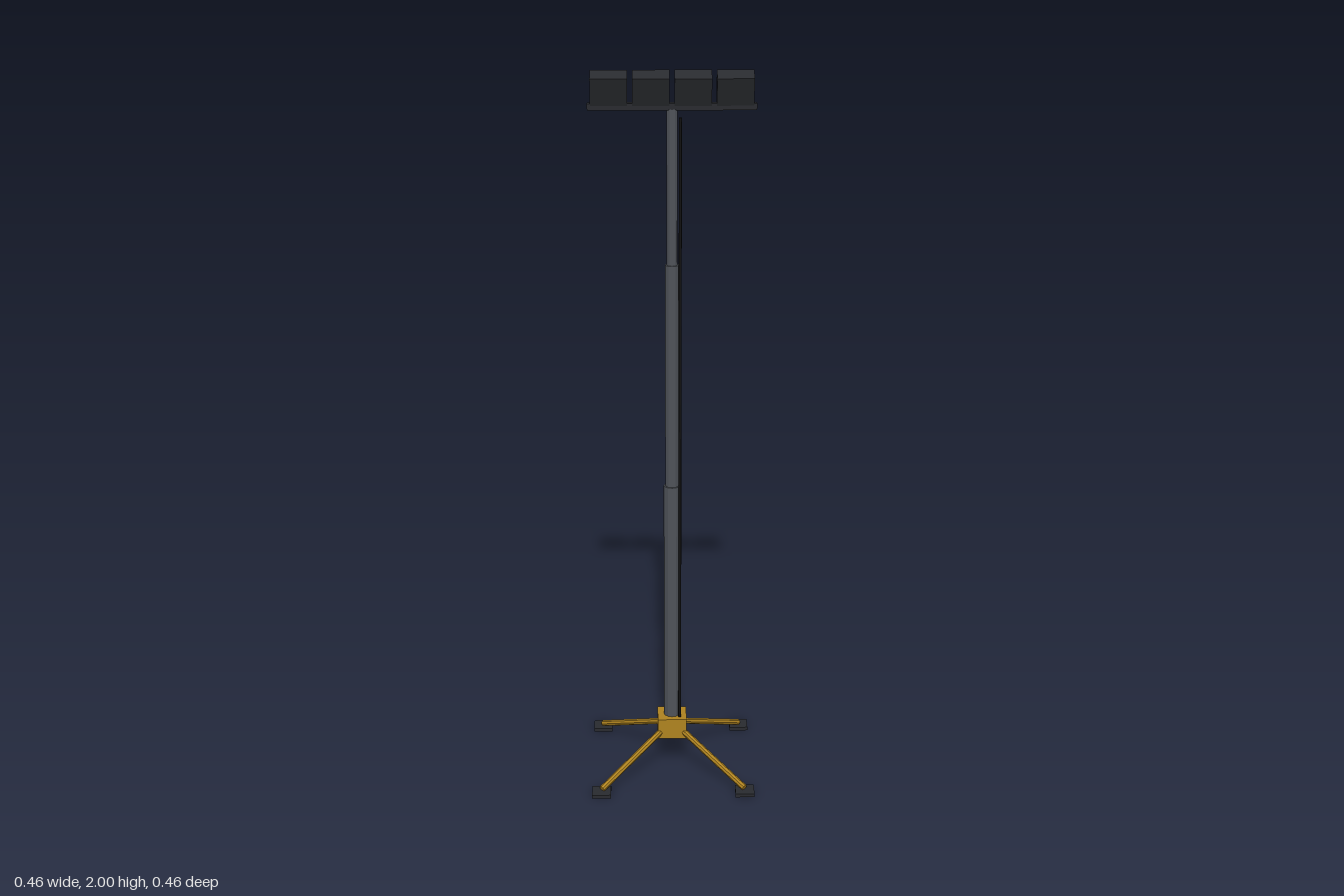
import * as THREE from 'three';

const mat = (color, flatShading = false) => {
  const m = new THREE.MeshStandardMaterial({ color });
  m.flatShading = flatShading;
  return m;
};
const steel = mat(0x50545a, true);
const dark = mat(0x292b2f);
const black = mat(0x111111);
const yellow = mat(0xb08420, true);
const glass = mat(0xe0d5b5);

function add(parent, name, geometry, material, x = 0, y = 0, z = 0) {
  const mesh = new THREE.Mesh(geometry, material);
  mesh.name = name;
  mesh.position.set(x, y, z);
  parent.add(mesh);
  return mesh;
}

// Round bar between two points
function rod(parent, name, a, b, radius, sides, material) {
  const dir = b.clone().sub(a);
  const mesh = add(parent, name, new THREE.CylinderGeometry(radius, radius, dir.length(), sides), material);
  mesh.position.copy(a).add(b).multiplyScalar(0.5);
  mesh.quaternion.setFromUnitVectors(new THREE.Vector3(0, 1, 0), dir.normalize());
  return mesh;
}

export function createModel() {
  const model = new THREE.Group();
  model.name = 'floodlightMast';
  const v = (x, y, z) => new THREE.Vector3(x, y, z);

  // Base hub with four splayed legs and square feet
  add(model, 'hub', new THREE.BoxGeometry(0.082, 0.06, 0.082), yellow, 0, 0.118, 0);
  for (const sx of [-1, 1]) {
    for (const sz of [-1, 1]) {
      rod(model, 'leg', v(sx * 0.025, 0.111, sz * 0.025), v(sx * 0.2, 0.015, sz * 0.2), 0.009, 8, yellow);
      add(model, 'foot', new THREE.BoxGeometry(0.053, 0.01, 0.053), dark, sx * 0.201, 0.005, sz * 0.201);
    }
  }

  // Telescoping mast: radius, bottom, top
  const sections = [[0.023, 0.12, 0.85], [0.0185, 0.8, 1.48], [0.0145, 1.43, 1.9]];
  for (const [r, y0, y1] of sections) {
    rod(model, 'mastSection', v(0, y0, 0), v(0, y1, 0), r, 12, steel);
  }

  // Power cable running beside the mast
  rod(model, 'cable', v(0.0215, 0.13, 0.0215), v(0.0215, 1.88, 0.0215), 0.004, 8, black);

  // Crossbar
  add(model, 'crossbar', new THREE.BoxGeometry(0.443, 0.018, 0.02), dark, 0, 1.906, 0);

  // Row of lamps tilted up towards the back
  for (let i = 0; i < 4; i++) {
    const lamp = new THREE.Group();
    lamp.name = 'lamp';
    lamp.position.set((i - 1.5) * 0.11, 1.9545, 0.0025);
    lamp.rotation.x = 0.349;
    add(lamp, 'housing', new THREE.BoxGeometry(0.097, 0.08, 0.047), dark);
    add(lamp, 'lens', new THREE.BoxGeometry(0.088, 0.068, 0.006), glass, 0, 0, -0.0245);
    model.add(lamp);
  }
  return model;
}
